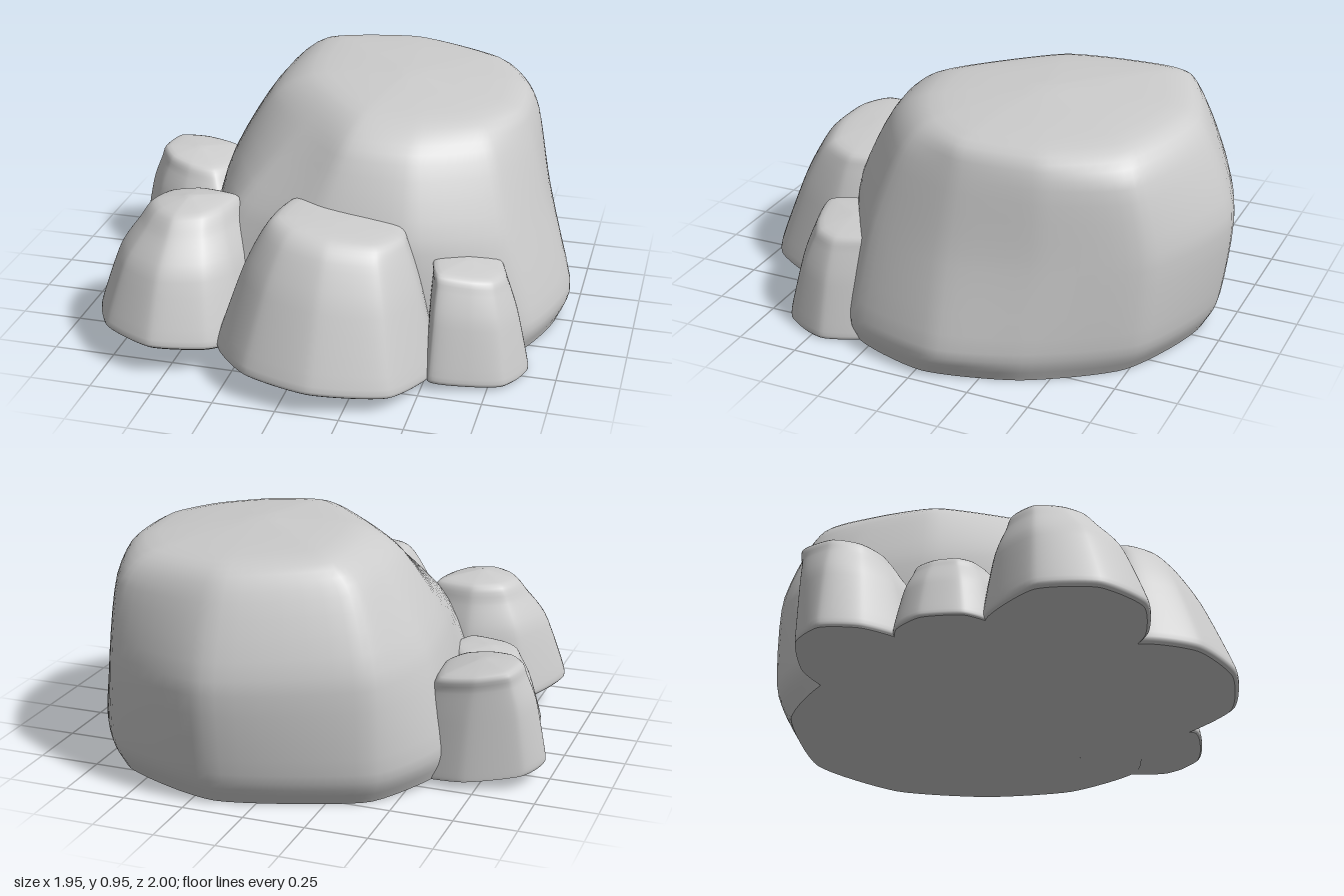
import * as THREE from 'three';

const material = new THREE.MeshStandardMaterial({ color: 0xcccccc });
const AROUND = 88, ROWS = 24;

// Underside: flat at the back right, rising gently to the front left
const floorAt = (x, z) => Math.max(0, 0.021 - 0.07 * x + 0.073 * z);

// Loft a rock through rings of [x, z] points, each ring at its own height
function rock(name, rings, crown, tilt) {
  const n = rings[0].points.length;
  const centre = (points) => [0, 1].map((k) => points.reduce((s, p) => s + p[k], 0) / n);
  const [cx, cz] = centre(rings[rings.length - 1].points);
  const loops = rings.map(({ y, points }) => new THREE.CatmullRomCurve3(
    points.map(([x, z]) => new THREE.Vector3(x, y + tilt * (x - cx) * y / crown, z)), true, 'catmullrom', 0.32));

  const positions = [], index = [];
  const place = (v) => {
    const p = floorAt(v.x, v.z);
    positions.push(v.x, Math.max(p, v.y + p * (1 - v.y / crown)), v.z);
  };
  // Columns run from the foot over the shoulder to the crown
  const columns = [];
  for (let j = 0; j < AROUND; j++) {
    const path = loops.map((c) => c.getPoint(j / AROUND));
    path.push(new THREE.Vector3(cx, crown, cz));
    columns.push(new THREE.CatmullRomCurve3(path, false, 'catmullrom', 0.36));
  }
  for (let i = 0; i < ROWS; i++) columns.forEach((c) => place(c.getPoint(i / ROWS)));
  for (let i = 0; i < ROWS - 1; i++) {
    for (let j = 0; j < AROUND; j++) {
      const k = (j + 1) % AROUND;
      const a = i * AROUND + j, b = i * AROUND + k;
      index.push(a, a + AROUND, b, b, a + AROUND, b + AROUND);
    }
  }
  // Crown cap
  const top = positions.length / 3;
  place(new THREE.Vector3(cx, crown, cz));
  const rim = (ROWS - 1) * AROUND;
  for (let j = 0; j < AROUND; j++) index.push(top, rim + (j + 1) % AROUND, rim + j);

  // Underside with its own vertices, so the bottom edge stays sharp
  const foot = positions.length / 3;
  columns.forEach((c) => place(c.getPoint(0)));
  const mid = positions.length / 3;
  const [bx, bz] = centre(rings[0].points);
  place(new THREE.Vector3(bx, 0, bz));
  for (let j = 0; j < AROUND; j++) index.push(mid, foot + j, foot + (j + 1) % AROUND);

  const geometry = new THREE.BufferGeometry();
  geometry.setAttribute('position', new THREE.Float32BufferAttribute(positions, 3));
  geometry.setIndex(index);
  geometry.computeVertexNormals();
  const mesh = new THREE.Mesh(geometry, material);
  mesh.name = name;
  return mesh;
}

// Small boulder: blends from its foot to its top outline; dome rounds the shoulder
function boulder(name, foot, top, height, tilt, dome) {
  const profile = [[0, 0.05], [0.07, 0], [0.6 - 0.04 * dome, 0.42 - 0.05 * dome],
    [0.88 - 0.08 * dome, 0.74], [0.98 - 0.04 * dome, 1]];
  const rings = profile.map(([f, t]) => ({
    y: f * height,
    points: foot.map(([x, z], i) => [x + (top[i][0] - x) * t, z + (top[i][1] - z) * t]),
  }));
  return rock(name, rings, height, tilt);
}

export function createModel() {
  const model = new THREE.Group();
  model.name = 'rockCluster';

  // Outlines run clockwise from the back, seen from above
  model.add(rock('mainRock', [
    { y: 0, points: [[0.16, -0.9], [0.6, -0.74], [0.84, -0.4], [0.93, -0.02], [0.8, 0.34], [0.4, 0.5],
      [0, 0.55], [-0.45, 0.45], [-0.58, -0.05], [-0.6, -0.42], [-0.38, -0.72]] },
    { y: 0.13, points: [[0.16, -0.96], [0.62, -0.8], [0.87, -0.42], [0.97, -0.08], [0.85, 0.32], [0.45, 0.52],
      [0, 0.56], [-0.47, 0.48], [-0.59, -0.02], [-0.62, -0.46], [-0.42, -0.77]] },
    { y: 0.5, points: [[0.16, -1], [0.61, -0.82], [0.8, -0.46], [0.86, -0.08], [0.75, 0.28], [0.41, 0.5],
      [0.02, 0.53], [-0.34, 0.36], [-0.5, -0.04], [-0.54, -0.44], [-0.41, -0.77]] },
    { y: 0.81, points: [[0.16, -0.89], [0.6, -0.75], [0.75, -0.44], [0.77, -0.1], [0.66, 0.18], [0.38, 0.36],
      [0.1, 0.38], [-0.12, 0.17], [-0.33, -0.12], [-0.36, -0.42], [-0.31, -0.69]] },
    { y: 0.92, points: [[0.16, -0.76], [0.5, -0.65], [0.66, -0.4], [0.68, -0.1], [0.56, 0.08], [0.36, 0.19],
      [0.15, 0.2], [0, 0.05], [-0.15, -0.16], [-0.19, -0.4], [-0.17, -0.63]] },
  ], 0.955, -0.055));

  model.add(boulder('frontBoulder',
    [[0.1, 0.3], [0.45, 0.35], [0.54, 0.62], [0.42, 0.9], [0.13, 1], [-0.14, 0.94], [-0.31, 0.74], [-0.25, 0.4]],
    [[0.12, 0.4], [0.32, 0.42], [0.37, 0.56], [0.3, 0.68], [0.14, 0.72], [0, 0.7], [-0.08, 0.62], [-0.05, 0.43]],
    0.625, -0.14, 0));

  model.add(boulder('frontRightBoulder',
    [[-0.5, 0.2], [-0.22, 0.3], [-0.24, 0.66], [-0.34, 0.8], [-0.55, 0.87], [-0.76, 0.77], [-0.86, 0.55], [-0.75, 0.31]],
    [[-0.5, 0.32], [-0.35, 0.35], [-0.37, 0.48], [-0.42, 0.57], [-0.52, 0.61], [-0.6, 0.56], [-0.65, 0.47], [-0.61, 0.37]],
    0.61, 0, 1));

  model.add(boulder('frontLeftBoulder',
    [[0.6, 0.15], [0.8, 0.26], [0.88, 0.45], [0.81, 0.62], [0.68, 0.68], [0.53, 0.7], [0.48, 0.5], [0.45, 0.25]],
    [[0.6, 0.22], [0.71, 0.28], [0.76, 0.43], [0.73, 0.51], [0.66, 0.55], [0.54, 0.57], [0.5, 0.46], [0.5, 0.3]],
    0.445, -0.18, 0.4));

  model.add(boulder('sideBoulder',
    [[-0.7, -0.48], [-0.45, -0.44], [-0.42, -0.2], [-0.5, 0.02], [-0.74, -0.02], [-0.9, -0.12], [-0.98, -0.26], [-0.92, -0.39]],
    [[-0.74, -0.46], [-0.6, -0.44], [-0.57, -0.25], [-0.62, -0.16], [-0.72, -0.15], [-0.81, -0.19], [-0.87, -0.28], [-0.85, -0.41]],
    0.49, -0.16, 0.8));

  model.add(boulder('sideGapBoulder',
    [[-0.7, -0.08], [-0.5, -0.08], [-0.42, 0.12], [-0.5, 0.34], [-0.7, 0.32], [-0.81, 0.25], [-0.87, 0.1], [-0.83, -0.02]],
    [[-0.68, 0], [-0.56, 0], [-0.5, 0.1], [-0.54, 0.22], [-0.67, 0.22], [-0.73, 0.18], [-0.75, 0.1], [-0.73, 0.03]],
    0.4, 0.1, 0.8));

  return model;
}
